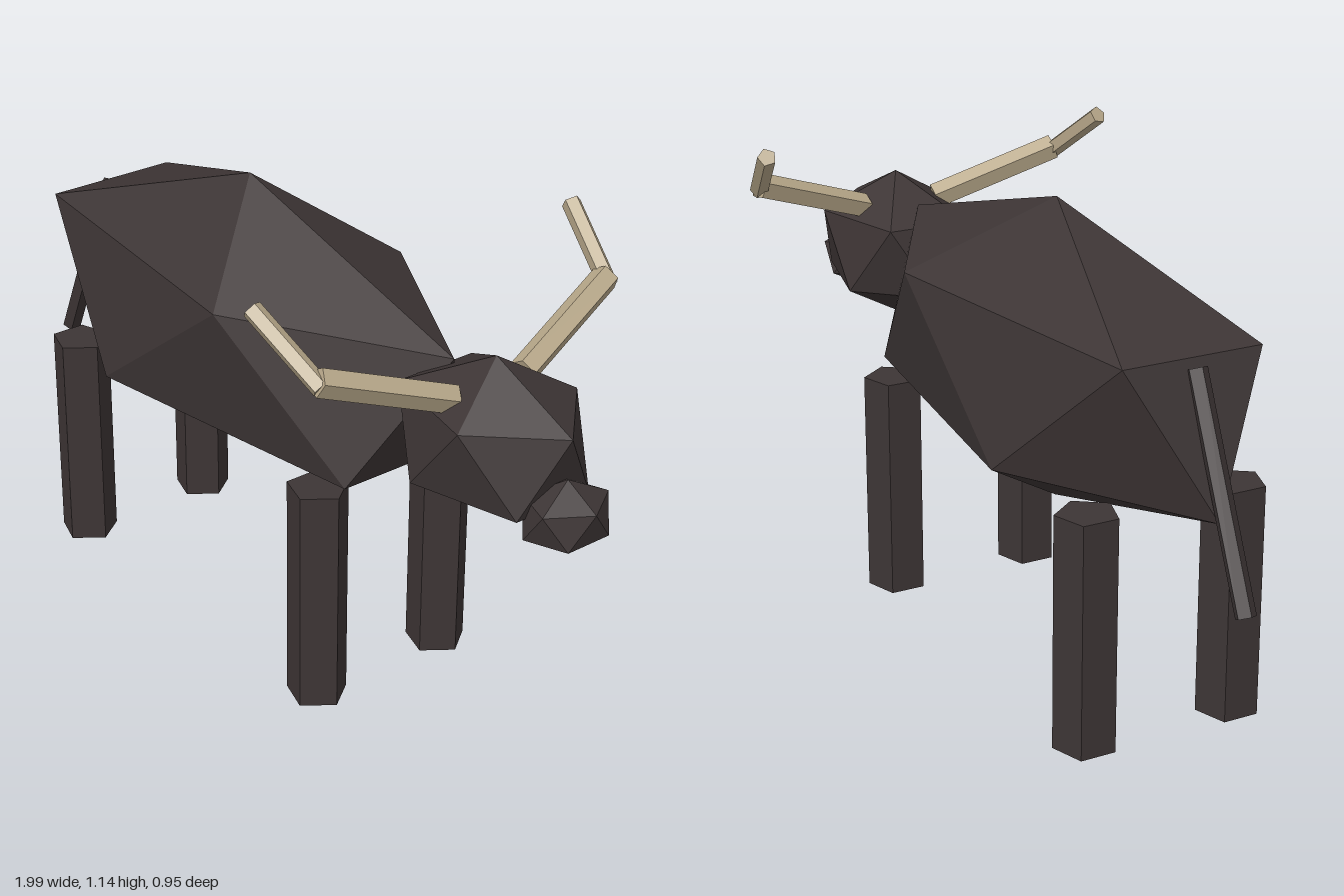
import * as THREE from 'three';
import { ConvexGeometry } from 'three/addons/geometries/ConvexGeometry.js';

const hide = new THREE.MeshStandardMaterial({ color: 0x3d3535, flatShading: true });
hide.name = 'dark brown hide';
const horn = new THREE.MeshStandardMaterial({ color: 0xb8a88a, flatShading: true });
horn.name = 'pale horn';

function add(group, name, geometry, material) {
  const mesh = new THREE.Mesh(geometry, material);
  mesh.name = name;
  group.add(mesh);
  return mesh;
}

// Faceted blob: two poles and two staggered five-point rings [y, radiusX, radiusZ]
function blob(cx, top, bottom, upper, lower) {
  const points = [new THREE.Vector3(cx, top, 0), new THREE.Vector3(cx, bottom, 0)];
  [upper, lower].forEach(([y, rx, rz], ring) => {
    for (let i = 0; i < 5; i++) {
      const a = (i * 2 + ring) * Math.PI / 5;
      points.push(new THREE.Vector3(cx + Math.cos(a) * rx, y, Math.sin(a) * rz));
    }
  });
  return new ConvexGeometry(points);
}

// Five-sided bar between two points
function bar(group, name, from, to, r, material) {
  const a = new THREE.Vector3(...from), b = new THREE.Vector3(...to);
  const d = b.clone().sub(a);
  const geometry = new THREE.CylinderGeometry(r, r, d.length(), 5, 1, false, Math.PI / 2);
  const mesh = add(group, name, geometry, material);
  mesh.position.copy(a).add(b).multiplyScalar(0.5);
  mesh.quaternion.setFromUnitVectors(new THREE.Vector3(0, 1, 0), d.normalize());
  return mesh;
}

export function createModel() {
  const model = new THREE.Group();
  model.name = 'horned bull';

  // Body, head and muzzle
  add(model, 'body', blob(-0.17, 1.11, 0.385, [0.91, 0.72, 0.29], [0.58, 0.7, 0.295]), hide);
  add(model, 'head', blob(0.68, 0.97, 0.59, [0.868, 0.235, 0.18], [0.69, 0.235, 0.178]), hide);
  add(model, 'muzzle', blob(0.908, 0.773, 0.602, [0.726, 0.087, 0.1], [0.65, 0.087, 0.1]), hide);

  // Legs and horns on both sides
  for (const s of [1, -1]) {
    bar(model, 'frontLeg', [0.317, 0, s * 0.185], [0.317, 0.557, s * 0.185], 0.0735, hide);
    bar(model, 'backLeg', [-0.643, 0, s * 0.185], [-0.643, 0.557, s * 0.185], 0.0735, hide);
    bar(model, 'hornBase', [0.66, 0.892, s * 0.1], [0.59, 1.002, s * 0.41], 0.033, horn);
    bar(model, 'hornTip', [0.6, 0.99, s * 0.407], [0.428, 1.117, s * 0.452], 0.023, horn);
  }

  // Tail
  bar(model, 'tail', [-0.765, 0.89, 0], [-0.977, 0.412, 0], 0.024, hide);
  return model;
}
